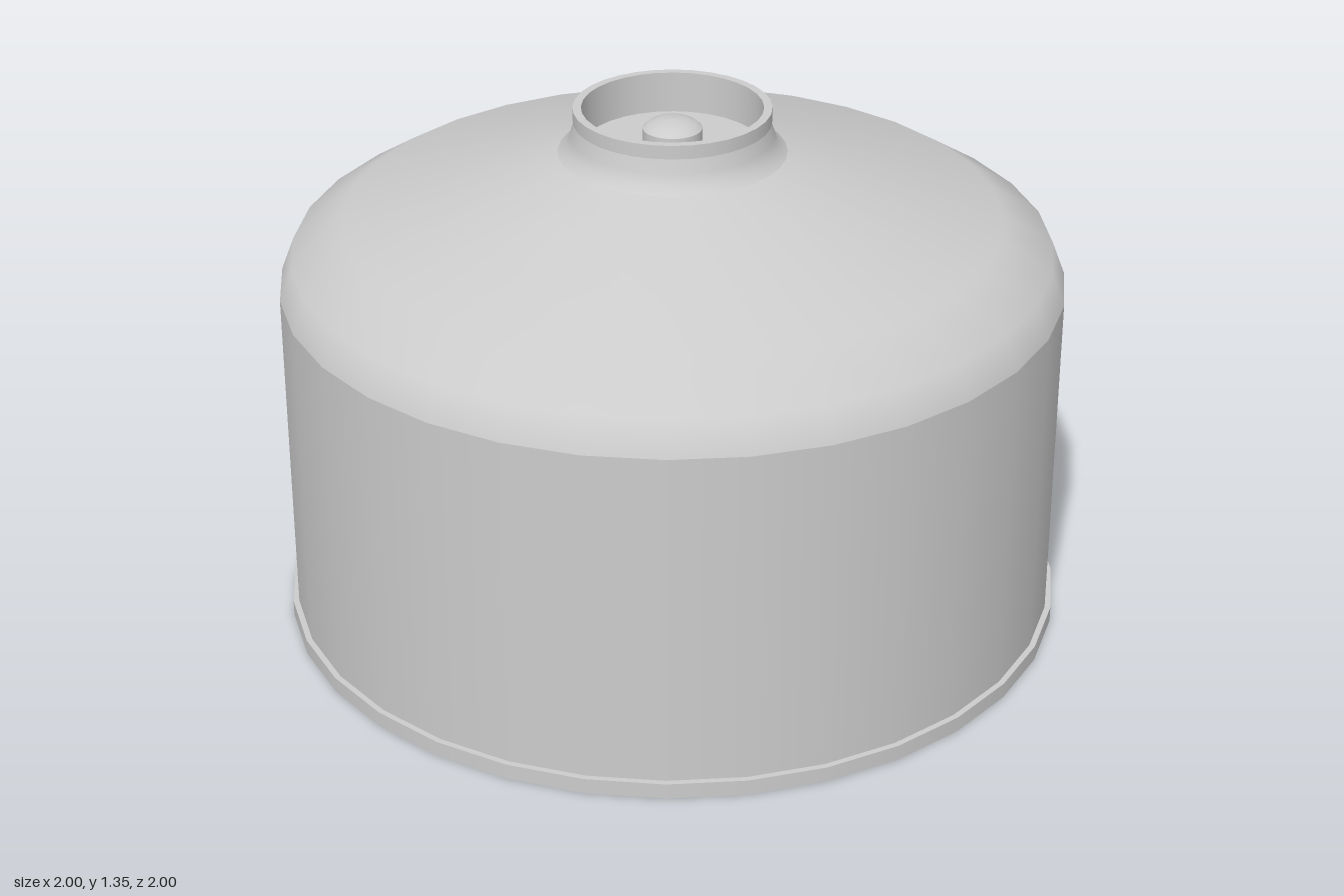
import * as THREE from 'three';

const SEGMENTS = 32;
const material = new THREE.MeshStandardMaterial({ color: 0xcccccc });

// Revolves a smooth [radius, height] profile; separate bands keep creases sharp.
function lathe(profile, segments = SEGMENTS) {
  const points = profile.map(([r, y]) => new THREE.Vector2(r, y));
  return new THREE.Mesh(new THREE.LatheGeometry(points, segments), material);
}

function part(name, bands, segments) {
  const group = new THREE.Group();
  group.name = name;
  bands.forEach((profile, i) => {
    const mesh = lathe(profile, segments);
    mesh.name = `${name}Band${i + 1}`;
    group.add(mesh);
  });
  return group;
}

export function createModel() {
  const model = new THREE.Group();
  model.name = 'canister';

  // Slightly dished underside and bottom rim
  model.add(part('baseRim', [
    [[0, 0.01], [0.5, 0.008], [1, 0]],
    [[1, 0], [1, 0.04]],
    [[1, 0.04], [0.985, 0.04]],
  ]));

  // Straight wall
  model.add(part('body', [[[0.985, 0.04], [0.985, 0.905]]]));

  // Rounded shoulder running up the cone
  model.add(part('shoulder', [
    [[0.985, 0.905], [0.952, 0.99], [0.825, 1.07], [0.285, 1.235]],
  ]));

  // Flared neck
  model.add(part('neck', [
    [[0.285, 1.235], [0.263, 1.253], [0.253, 1.28], [0.243, 1.315]],
  ]));

  // Collar with its recessed well
  model.add(part('collar', [
    [[0.243, 1.315], [0.246, 1.315]],
    [[0.246, 1.315], [0.246, 1.35]],
    [[0.246, 1.35], [0.225, 1.35]],
    [[0.225, 1.35], [0.225, 1.245]],
    [[0.225, 1.245], [0, 1.245]],
  ]));

  // Domed valve button in the well
  model.add(part('valve', [
    [[0.074, 1.245], [0.074, 1.295]],
    [[0.074, 1.295], [0.06, 1.307], [0.034, 1.316], [0, 1.319]],
  ]));

  return model;
}
